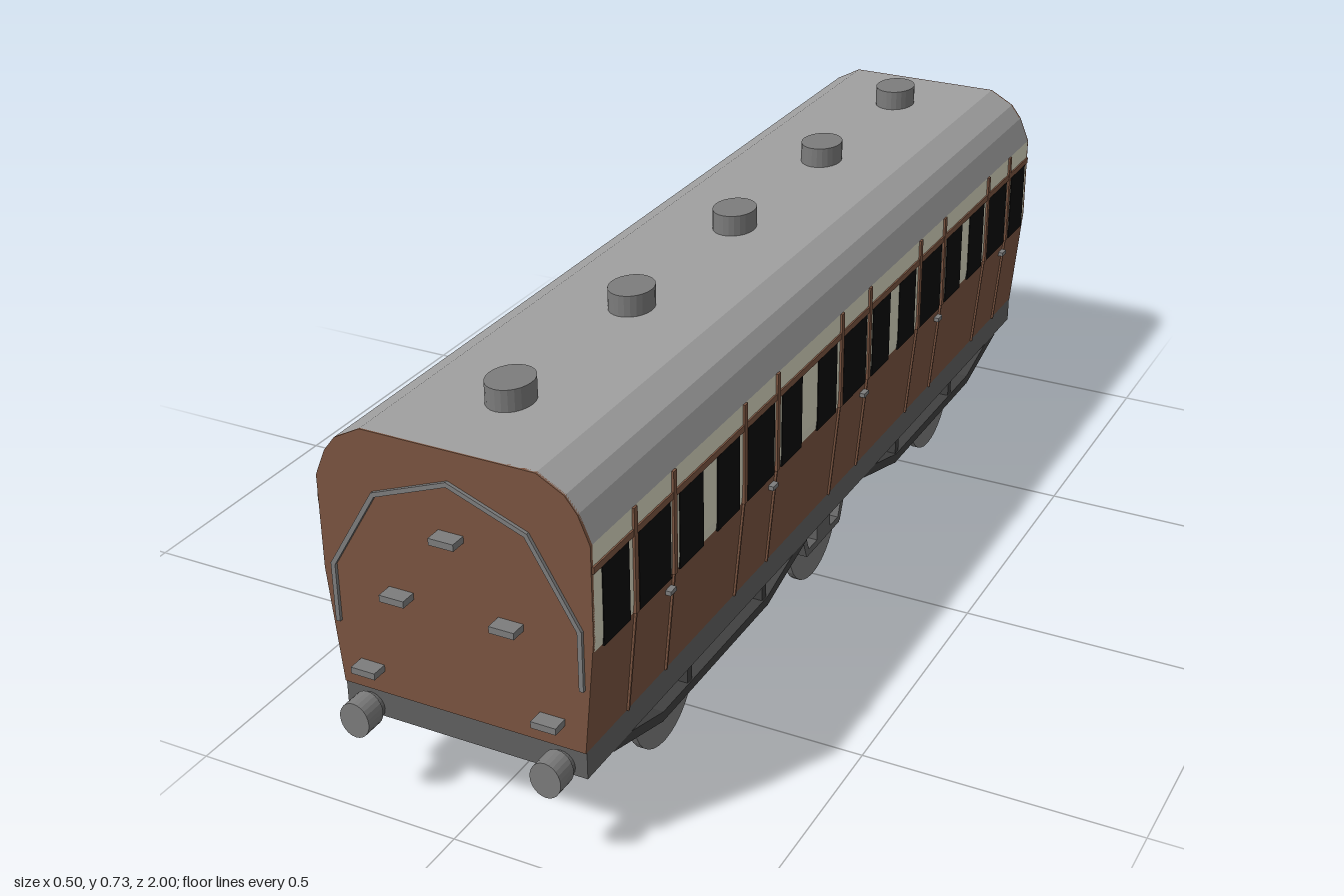
import * as THREE from 'three';

const mat = (color) => new THREE.MeshStandardMaterial({ color, flatShading: true });
const BROWN = mat(0x7a5440), CREAM = mat(0xd8d6c0), BLACK = mat(0x0a0a0a);
const ROOF = mat(0xa0a0a0), FRAME = mat(0x606060), DARK = mat(0x404040), STEEL = mat(0x7c7c7c);

function add(parent, name, geo, material, x = 0, y = 0, z = 0) {
  const mesh = new THREE.Mesh(geo, material);
  mesh.name = name;
  mesh.position.set(x, y, z);
  parent.add(mesh);
  return mesh;
}
const box = (w, h, d) => new THREE.BoxGeometry(w, h, d);

// closed outline extruded along z, centred on z = 0
function prism(pts, depth) {
  const shape = new THREE.Shape(pts.map(([x, y]) => new THREE.Vector2(x, y)));
  const geo = new THREE.ExtrudeGeometry(shape, { depth, bevelEnabled: false });
  return geo.translate(0, 0, -depth / 2);
}
// right half of an outline, mirrored to a full cross-section
const mirrored = (half) => [...half, ...half.map(([x, y]) => [-x, y]).reverse()];

// straight bar between two points of the xy plane
function beam([ax, ay], [bx, by], thick, depth) {
  const geo = box(Math.hypot(bx - ax, by - ay) + thick * 0.4, thick, depth);
  geo.rotateZ(Math.atan2(by - ay, bx - ax));
  return geo.translate((ax + bx) / 2, (ay + by) / 2, 0);
}
// chain of bars; "alongZ" turns the drawing plane to face sideways
function chain(parent, name, pts, thick, depth, material, pos, alongZ = false) {
  for (let i = 1; i < pts.length; i++) {
    const geo = beam(pts[i - 1], pts[i], thick, depth);
    if (alongZ) geo.rotateY(-Math.PI / 2);
    add(parent, name, geo, material, ...pos);
  }
}

const LEN = 1.9;
const LOWER = [[0.225, 0.21], [0.243, 0.4]];
const UPPER = [[0.243, 0.4], [0.245, 0.42], [0.245, 0.588]];
const TOP = [[0.245, 0.588], [0.225, 0.636], [0.204, 0.663], [0.156, 0.689]];
const DOORS = [0.757, 0.376, -0.022, -0.398, -0.772];
const WHEELS = [0.61, 0, -0.6];

// one long side of the carriage, facing +x
function createSide() {
  const side = new THREE.Group();
  side.name = 'carriageSide';
  const strip = [[0.225, 0.21], [0.243, 0.4], [0.245, 0.42], [0.245, 0.588]];
  const off = (d) => strip.map(([x, y]) => [x + d, y]);
  const post = [...off(-0.004), ...off(0.004).reverse()].reverse();
  for (const z of DOORS) {
    add(side, 'doorWindow', box(0.006, 0.14, 0.104), BLACK, 0.2435, 0.467, z);
    for (const s of [-1, 1]) {
      add(side, 'sideWindow', box(0.006, 0.14, 0.082), BLACK, 0.2435, 0.467, z + s * 0.124);
      // door post above the waist, narrow seam below it
      add(side, 'doorPost', box(0.008, 0.188, 0.011), BROWN, 0.245, 0.494, z + s * 0.064);
      add(side, 'doorSeam', prism(post, 0.004), BROWN, 0, 0, z + s * 0.064);
    }
    add(side, 'doorHandle', box(0.01, 0.008, 0.02), STEEL, 0.246, 0.375, z - 0.05);
  }
  add(side, 'windowRail', box(0.008, 0.012, LEN), BROWN, 0.244, 0.545, 0);

  // truss rods below the frame, one at each end
  for (const s of [-1, 1]) {
    const rod = [[0.86, 0.165], [0.7, 0.12], [0.3, 0.12], [0.14, 0.165]].map(([z, y]) => [z * s, y]);
    chain(side, 'trussRod', rod, 0.018, 0.025, DARK, [0.212, 0, 0], true);
    for (const z of [0.6, 0.31]) add(side, 'trussPost', box(0.02, 0.05, 0.016), DARK, 0.212, 0.14, z * s);
  }
  return side;
}

// wheel pair with axle, springs and axle guards
function createWheelset(z) {
  const set = new THREE.Group();
  set.name = 'wheelset';
  set.position.z = z;
  const disc = new THREE.CylinderGeometry(0.108, 0.108, 0.013, 32).rotateZ(Math.PI / 2);
  const axle = new THREE.CylinderGeometry(0.01, 0.01, 0.28, 12).rotateZ(Math.PI / 2);
  add(set, 'axle', axle, FRAME, 0, 0.102, 0);
  for (const s of [-1, 1]) {
    add(set, 'wheel', disc, STEEL, s * 0.172, 0.108, 0);
    const guard = [[-0.1, 0.16], [-0.072, 0.09], [0.072, 0.09], [0.1, 0.16]];
    chain(set, 'axleGuard', guard, 0.014, 0.02, FRAME, [s * 0.19, 0, 0], true);
    add(set, 'axleBox', box(0.02, 0.05, 0.06), FRAME, s * 0.19, 0.11, 0);
    add(set, 'spring', box(0.02, 0.014, 0.17), FRAME, s * 0.19, 0.14, 0);
  }
  return set;
}

// end wall with its piping, steps and buffers, facing +z
function createEnd() {
  const end = new THREE.Group();
  end.name = 'carriageEnd';
  add(end, 'endWall', prism(mirrored([...LOWER, ...UPPER.slice(1), ...TOP.slice(1)]), 0.006), BROWN, 0, 0, 0.95);
  const pipe = [[0.224, 0.33], [0.224, 0.435], [0.137, 0.581], [0, 0.633]];
  for (const s of [-1, 1]) {
    chain(end, 'endPipe', pipe.map(([x, y]) => [x * s, y]), 0.008, 0.008, STEEL, [0, 0, 0.955]);
    for (const [x, y] of [[0.1, 0.412], [0.167, 0.258]]) {
      add(end, 'endStep', box(0.045, 0.012, 0.03), STEEL, s * x, y, 0.967);
    }
    const stem = new THREE.CylinderGeometry(0.022, 0.026, 0.05, 20).rotateX(Math.PI / 2);
    add(end, 'bufferStem', stem, FRAME, s * 0.178, 0.175, 0.965);
    const head = new THREE.CylinderGeometry(0.028, 0.028, 0.04, 24).rotateX(Math.PI / 2).scale(1, 1.16, 1);
    add(end, 'bufferHead', head, STEEL, s * 0.178, 0.175, 0.98);
  }
  add(end, 'endStep', box(0.045, 0.012, 0.03), STEEL, 0, 0.541, 0.967);
  return end;
}

export function createModel() {
  const model = new THREE.Group();
  model.name = 'railwayCarriage';

  // body in three bands
  add(model, 'lowerBody', prism(mirrored(LOWER), LEN), BROWN);
  add(model, 'upperBody', prism(mirrored(UPPER), LEN), CREAM);
  add(model, 'roof', prism(mirrored(TOP), LEN), ROOF);
  add(model, 'underframe', box(0.45, 0.05, LEN), FRAME, 0, 0.185, 0);

  // roof ventilators
  const vent = new THREE.CylinderGeometry(0.039, 0.039, 0.045, 24).scale(1, 1, 1.23);
  for (const z of [0.765, 0.375, -0.018, -0.407, -0.785]) add(model, 'roofVent', vent, STEEL, 0, 0.705, z);

  // sides and ends repeat by a half turn
  for (const turn of [0, Math.PI]) {
    for (const part of [createSide(), createEnd()]) {
      part.rotation.y = turn;
      model.add(part);
    }
  }
  for (const z of WHEELS) model.add(createWheelset(z));
  return model;
}
